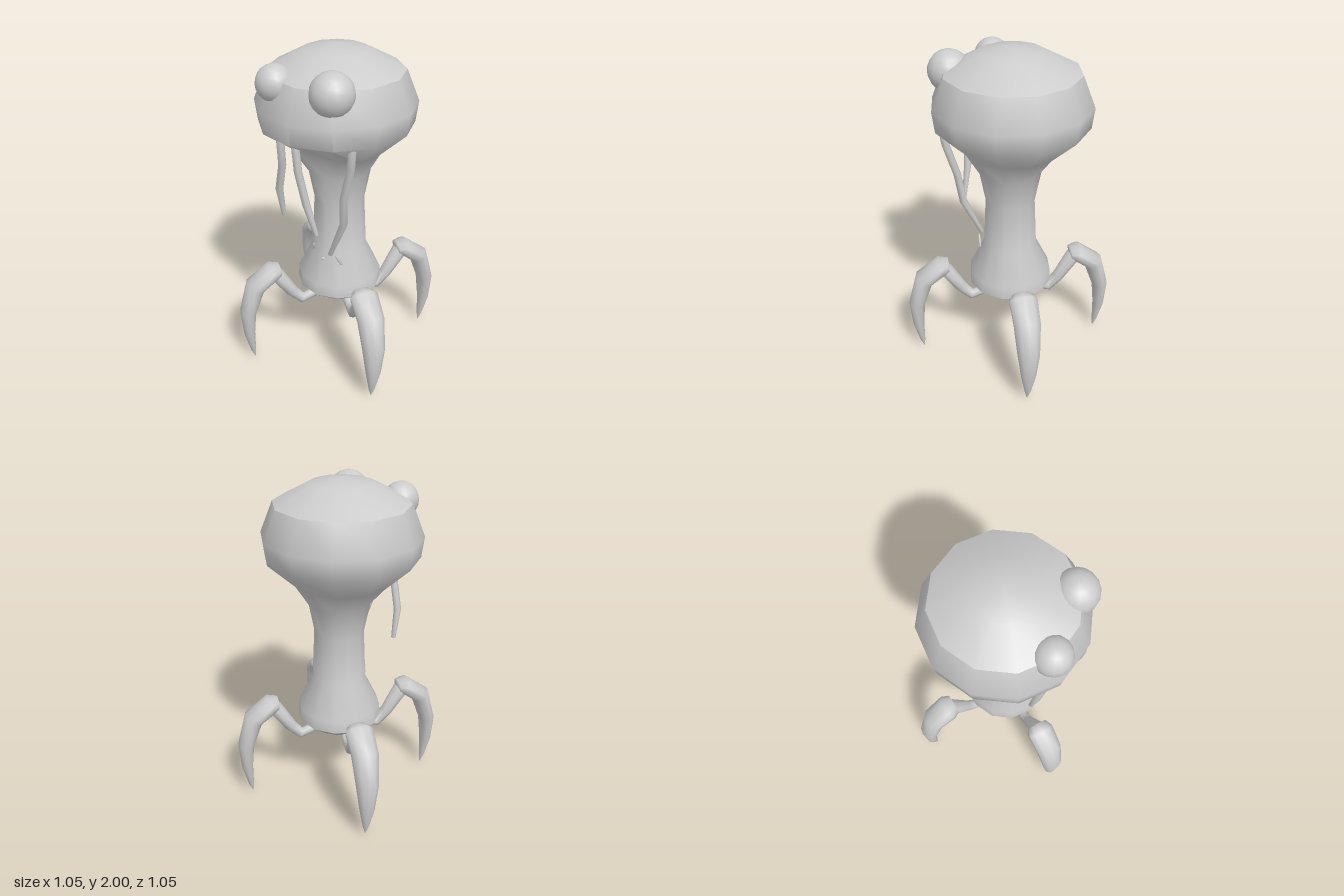
import * as THREE from 'three';
import { toCreasedNormals } from 'three/addons/utils/BufferGeometryUtils.js';

const mat = new THREE.MeshStandardMaterial({ color: 0xcccccc });

function add(parent, geometry, name) {
  const mesh = new THREE.Mesh(geometry, mat);
  mesh.name = name;
  parent.add(mesh);
  return mesh;
}

// Skin of elliptical rings along a path: sections are [x, y, z, thickness, width]
function loft(sections, sides) {
  const pos = [], index = [];
  const pts = sections.map(s => new THREE.Vector3(s[0], s[1], s[2]));
  const ref = new THREE.Vector3(0, 0, 1);
  sections.forEach((s, i) => {
    const t = pts[Math.min(i + 1, pts.length - 1)].clone().sub(pts[Math.max(i - 1, 0)]).normalize();
    const n = ref.clone().cross(t).normalize();
    const b = t.clone().cross(n);
    for (let j = 0; j < sides; j++) {
      const a = j / sides * Math.PI * 2;
      const p = pts[i].clone().addScaledVector(n, Math.cos(a) * s[3]).addScaledVector(b, Math.sin(a) * s[4]);
      pos.push(p.x, p.y, p.z);
    }
  });
  for (let i = 0; i < sections.length - 1; i++) {
    for (let j = 0; j < sides; j++) {
      const k = (j + 1) % sides;
      const a = i * sides + j, b = i * sides + k, c = a + sides, d = b + sides;
      index.push(a, b, c, b, d, c);
    }
  }
  const g = new THREE.BufferGeometry();
  g.setAttribute('position', new THREE.Float32BufferAttribute(pos, 3));
  g.setIndex(index);
  g.computeVertexNormals();
  return g;
}

// Round tube through points, with closed ends
function tendril(points, r) {
  const last = points.length - 1;
  const rings = points.map((p, i) => [...p, i === last ? r * 0.6 : r, i === last ? r * 0.6 : r]);
  return loft([[...points[0], 0, 0], ...rings, [...points[last], 0, 0]], 7);
}

// Twelve-sided turned section of the body, listed from bottom to top
function turned(profile, crease) {
  const g = new THREE.LatheGeometry(profile.map(p => new THREE.Vector2(...p)), 12);
  const p = g.attributes.position;
  for (let i = 0; i < p.count; i++) {
    const y = p.getY(i);
    // head sits a little off the stalk axis
    if (y > 1.3) p.setX(i, p.getX(i) - 0.02);
    // throat is pulled back under the front of the head
    if (y > 1.2 && y < 1.5) p.setZ(i, Math.min(p.getZ(i), y > 1.35 ? 0.2 : 0.16));
  }
  return toCreasedNormals(g, crease);
}

function createLeg() {
  const leg = new THREE.Group();
  leg.name = 'leg';
  // thin inner limb dipping out of the belly, then rising to the knee
  add(leg, loft([
    [0.08, 0.46, 0, 0, 0], [0.09, 0.455, 0, 0.03, 0.03], [0.19, 0.412, 0, 0.031, 0.031],
    [0.25, 0.39, 0, 0.034, 0.032], [0.315, 0.46, 0, 0.038, 0.038],
    [0.41, 0.61, 0, 0.045, 0.055], [0.43, 0.64, 0, 0, 0]
  ], 8), 'innerLimb');
  // broad claw bending over the knee and tapering to the ground
  add(leg, loft([
    [0.385, 0.635, 0, 0, 0], [0.39, 0.637, 0, 0.035, 0.065], [0.43, 0.637, 0, 0.053, 0.085],
    [0.545, 0.55, 0, 0.06, 0.08], [0.6, 0.37, 0, 0.05, 0.067],
    [0.602, 0.2, 0, 0.035, 0.045], [0.585, 0.06, 0, 0.016, 0.018], [0.575, 0, 0, 0, 0]
  ], 10), 'claw');
  return leg;
}

export function createModel() {
  const model = new THREE.Group();
  model.name = 'creature';

  // Body: belly, stalk flaring into the head, and domed crown
  add(model, turned([[0, 0.395], [0.15, 0.425], [0.257, 0.51]], 0.8), 'belly');
  add(model, turned([
    [0.257, 0.51], [0.253, 0.585], [0.163, 0.77], [0.149, 1.08],
    [0.185, 1.27], [0.285, 1.41], [0.445, 1.56], [0.46, 1.68], [0.387, 1.86]
  ], 0.82), 'headAndStalk');
  add(model, turned([[0.387, 1.86], [0.18, 1.97], [0, 2]], 0.8), 'crown');

  // Eyes of unequal size
  for (const [name, x, y, z, r] of [['rightEye', -0.203, 1.834, 0.316, 0.104], ['leftEye', 0.153, 1.836, 0.312, 0.121]]) {
    add(model, new THREE.SphereGeometry(r, 16, 12), name).position.set(x, y, z);
  }

  // Feelers hanging under the front of the head
  const feelers = {
    rightFeeler: [[-0.17, 1.57, 0.335], [-0.18, 1.36, 0.31], [-0.235, 1.18, 0.275], [-0.232, 1.0, 0.245]],
    middleFeeler: [[-0.035, 1.57, 0.385], [-0.03, 1.38, 0.37], [0, 1.18, 0.345], [0.053, 0.99, 0.33]],
    leftFeeler: [[0.26, 1.57, 0.285], [0.245, 1.43, 0.275], [0.185, 1.22, 0.25], [0.168, 1.04, 0.225], [0.055, 0.785, 0.19]]
  };
  for (const [name, points] of Object.entries(feelers)) add(model, tendril(points, 0.023), name);

  // Small slivers standing off the lower stalk
  for (const [x, y, z, len, tilt] of [[-0.085, 0.78, 0.155, 0.035, -0.3], [0, 0.73, 0.18, 0.014, 0.4], [0.1, 0.745, 0.165, 0.05, 0.3]]) {
    const sliver = add(model, new THREE.SphereGeometry(1, 6, 4), 'sliver');
    sliver.scale.set(0.008, len, 0.01);
    sliver.position.set(x, y, z);
    sliver.rotation.set(0.4, 0, tilt);
  }

  // Four legs, a quarter turn apart
  for (let i = 0; i < 4; i++) {
    const leg = createLeg();
    leg.rotation.y = -0.675 + i * Math.PI / 2;
    model.add(leg);
  }
  return model;
}
